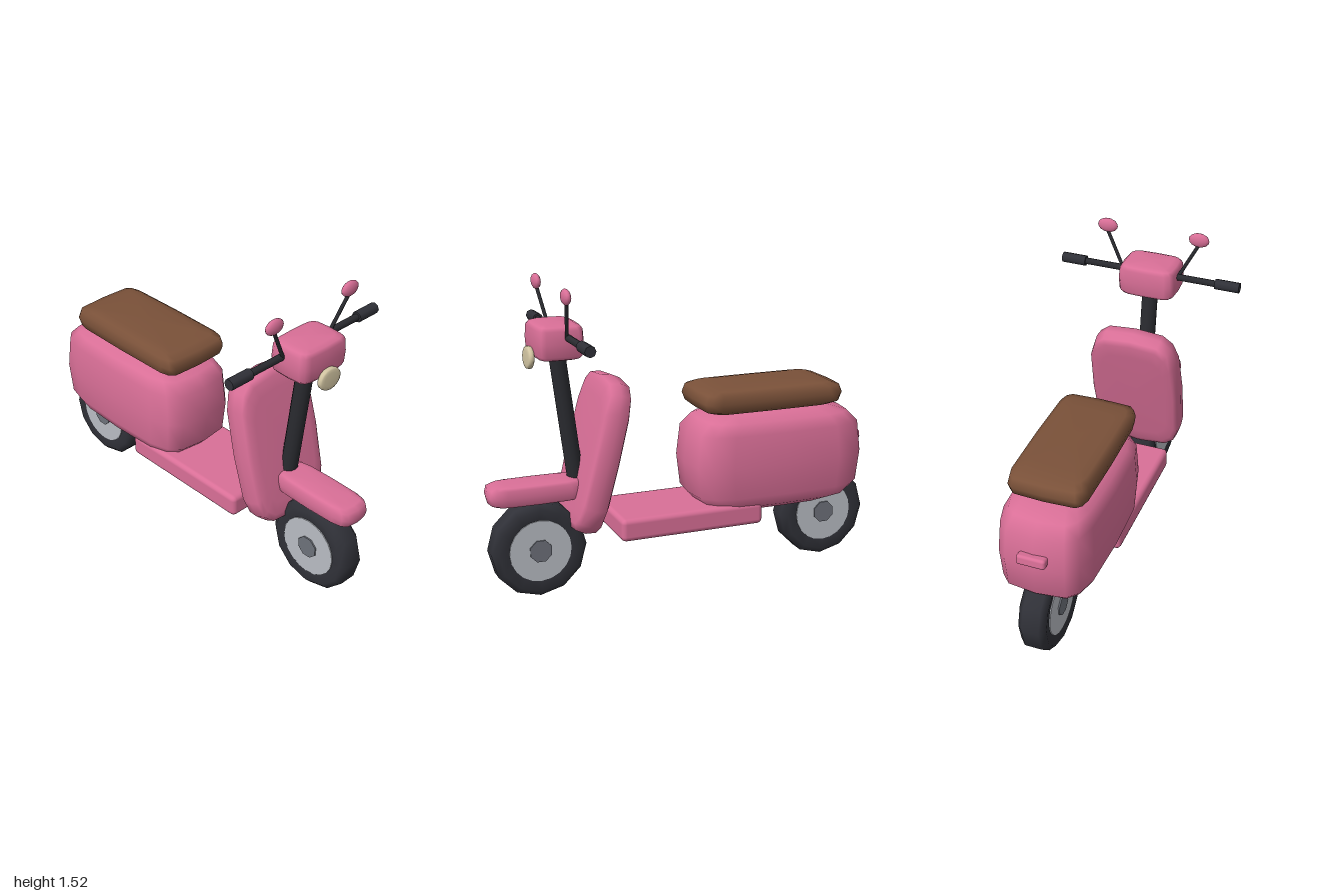
import * as THREE from 'three';
import { mergeVertices } from 'three/addons/utils/BufferGeometryUtils.js';
import { RoundedBoxGeometry } from 'three/addons/geometries/RoundedBoxGeometry.js';

const material = (name, color) => {
  const m = new THREE.MeshStandardMaterial({ color });
  m.name = name;
  return m;
};

// Signed power, with tiny values snapped to zero
const spow = (v, e) => (Math.abs(v) < 1e-6 ? 0 : Math.sign(v) * Math.abs(v) ** e);

// Soft box: a sphere squared off by exponents (outline around the y axis, profile along it)
function softBox(rx, ry, rz, outline, profile) {
  let g = new THREE.SphereGeometry(1, 16, 8);
  const p = g.attributes.position;
  for (let i = 0; i < p.count; i++) {
    const x = p.getX(i), y = p.getY(i), z = p.getZ(i);
    const c = Math.hypot(x, z);
    const s = spow(c, profile);
    const ux = c > 1e-6 ? x / c : 0, uz = c > 1e-6 ? z / c : 0;
    p.setXYZ(i, rx * s * spow(ux, outline), ry * spow(y, profile), rz * s * spow(uz, outline));
  }
  g.deleteAttribute('uv');
  g.deleteAttribute('normal');
  g = mergeVertices(g, 1e-5);
  g.computeVertexNormals();
  return g;
}

// Cylinder between two points
function rod(a, b, r, sides) {
  const from = new THREE.Vector3(...a), to = new THREE.Vector3(...b);
  const dir = to.clone().sub(from);
  const g = new THREE.CylinderGeometry(r, r, dir.length(), sides);
  g.applyQuaternion(new THREE.Quaternion().setFromUnitVectors(new THREE.Vector3(0, 1, 0), dir.normalize()));
  const mid = from.add(to).multiplyScalar(0.5);
  return g.translate(mid.x, mid.y, mid.z);
}

export function createModel() {
  const pink = material('pink paint', 0xd96f97);
  const brown = material('brown leather', 0x7a5139);
  const rubber = material('dark rubber', 0x303138);
  const darkMetal = material('dark metal', 0x2a2b30);
  const silver = material('silver rim', 0xb8bcc3);
  const grey = material('grey hub', 0x6d717a);
  const cream = material('cream lens', 0xd2c5a2);

  const model = new THREE.Group();
  model.name = 'scooter';
  const add = (name, geometry, mat, pos = [0, 0, 0], parent = model) => {
    const mesh = new THREE.Mesh(geometry, mat);
    mesh.name = name;
    mesh.position.set(...pos);
    parent.add(mesh);
    return mesh;
  };

  // Wheels: chamfered tyre, rim disc and hub
  const tyreProfile = [[0.15, -0.06], [0.205, -0.07], [0.235, -0.042], [0.235, 0.042], [0.205, 0.07], [0.15, 0.06]]
    .map(([r, h]) => new THREE.Vector2(r, h));
  for (const [name, z] of [['frontWheel', 0.752], ['rearWheel', -0.765]]) {
    const wheel = new THREE.Group();
    wheel.name = name;
    wheel.position.set(0, 0.235, z);
    wheel.rotation.z = Math.PI / 2;
    add('tyre', new THREE.LatheGeometry(tyreProfile, 12), rubber, [0, 0, 0], wheel);
    add('rim', new THREE.CylinderGeometry(0.153, 0.153, 0.132, 20), silver, [0, 0, 0], wheel);
    add('hub', new THREE.CylinderGeometry(0.057, 0.057, 0.146, 8).rotateY(Math.PI / 8), grey, [0, 0, 0], wheel);
    model.add(wheel);
  }

  // Rear body, seat and tail lamp
  add('rearBody', softBox(0.235, 0.255, 0.465, 0.5, 0.5), pink, [0, 0.575, -0.475]);
  add('seat', softBox(0.195, 0.067, 0.378, 0.25, 0.5), brown, [0, 0.893, -0.432]);
  add('tailLamp', new RoundedBoxGeometry(0.14, 0.05, 0.05, 2, 0.014), pink, [0, 0.63, -0.942]).rotation.x = 0.12;

  // Floor board
  add('floorBoard', new RoundedBoxGeometry(0.4, 0.113, 0.74, 2, 0.025), pink, [0, 0.324, 0.015]);

  // Leg shield, leaning back
  add('legShield', softBox(0.235, 0.068, 0.385, 0.5, 0.32).rotateX(Math.PI / 2), pink, [0, 0.68, 0.46])
    .rotation.x = -0.25;

  // Front fender
  add('frontFender', softBox(0.094, 0.055, 0.243, 0.45, 0.45), pink, [0, 0.521, 0.752]);

  // Steering column and handlebar housing
  add('steeringColumn', rod([0, 0.48, 0.542], [0, 1.22, 0.635], 0.041, 12), darkMetal);
  add('handlebarHousing', softBox(0.152, 0.087, 0.115, 0.4, 0.4), pink, [0, 1.246, 0.64]);

  // Headlamp
  add('headlamp', softBox(0.068, 0.016, 0.054, 1, 0.5).rotateX(Math.PI / 2), cream, [0, 1.168, 0.765])
    .rotation.x = -0.06;

  // Handlebar with grips and mirrors on both sides
  add('handlebar', rod([-0.36, 1.275, 0.616], [0.36, 1.275, 0.616], 0.017, 8), darkMetal);
  for (const [side, s] of [['left', 1], ['right', -1]]) {
    add(side + 'Grip', rod([s * 0.345, 1.275, 0.616], [s * 0.47, 1.275, 0.616], 0.027, 8), rubber);
    add(side + 'MirrorStalk', rod([s * 0.14, 1.26, 0.62], [s * 0.243, 1.46, 0.65], 0.009, 8), darkMetal);
    add(side + 'Mirror', softBox(0.053, 0.037, 0.021, 1, 1), pink, [s * 0.24, 1.48, 0.652]);
  }

  return model;
}
